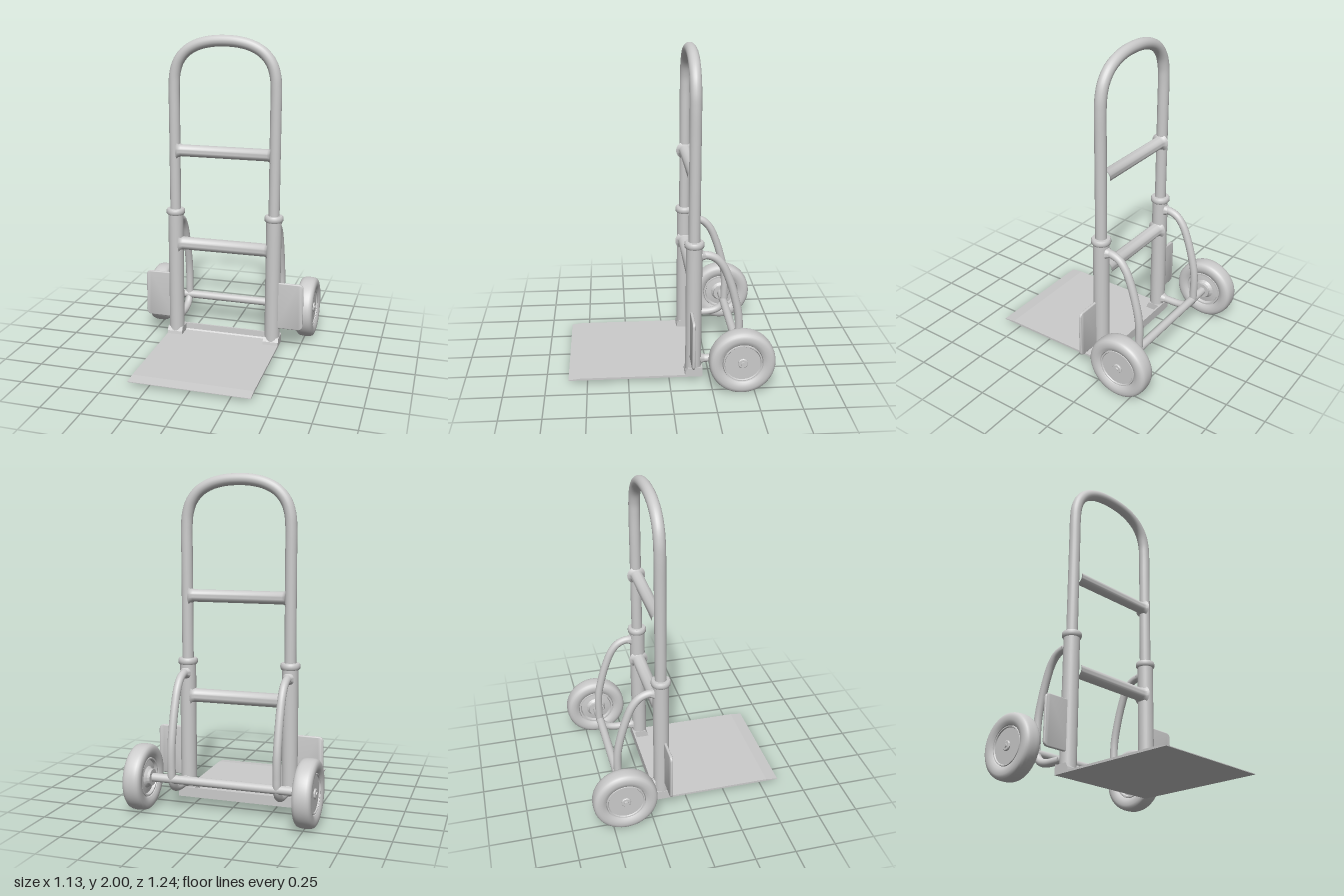
import * as THREE from 'three';
import { toCreasedNormals } from 'three/addons/utils/BufferGeometryUtils.js';

const grey = new THREE.MeshStandardMaterial({ color: 0xcccccc });
const FRAME_Z = -0.15, POST_X = 0.325, AXLE_Y = 0.2, AXLE_Z = -0.4225;

function add(parent, name, geometry, x = 0, y = 0, z = 0) {
  const mesh = new THREE.Mesh(geometry, grey);
  mesh.name = name;
  mesh.position.set(x, y, z);
  parent.add(mesh);
  return mesh;
}

// Turned part from [radius, height] pairs running bottom to top
function lathe(profile, segments = 48) {
  const points = profile.map(([r, h]) => new THREE.Vector2(r, h));
  return toCreasedNormals(new THREE.LatheGeometry(points, segments), 0.6);
}

// The same, with its axis along x
const latheX = (profile, segments) => lathe(profile, segments).rotateZ(-Math.PI / 2);

function tube(points, radius, segments) {
  const curve = new THREE.CatmullRomCurve3(points.map(p => new THREE.Vector3(...p)), false, 'centripetal');
  return new THREE.TubeGeometry(curve, segments, radius, 20);
}

// Horizontal bar with small weld flares at both ends
function crossbar(radius, half) {
  const end = [[radius + 0.02, half], [radius + 0.007, half - 0.009], [radius, half - 0.025]];
  return latheX([...end.map(([r, h]) => [r, -h]), ...end.reverse()], 32);
}

function fenderGeometry() {
  const x0 = 0.345, x1 = 0.52, y0 = 0.153, y1 = 0.447, r = 0.025;
  const s = new THREE.Shape();
  s.moveTo(x0, y0);
  s.lineTo(x1 - r, y0);
  s.quadraticCurveTo(x1, y0, x1, y0 + r);
  s.lineTo(x1, y1 - r);
  s.quadraticCurveTo(x1, y1, x1 - r, y1);
  s.lineTo(x0, y1);
  const g = new THREE.ExtrudeGeometry(s, {
    depth: 0.004, bevelThickness: 0.007, bevelSize: 0.008, bevelSegments: 4, curveSegments: 8,
  });
  return toCreasedNormals(g, 0.6);
}

// Side profile given as [z, y] pairs, extruded across x by width
function sideExtrude(profile, width) {
  const shape = new THREE.Shape(profile.map(([z, y]) => new THREE.Vector2(-z, y)));
  return new THREE.ExtrudeGeometry(shape, { depth: width, bevelEnabled: false })
    .translate(0, 0, -width / 2).rotateY(Math.PI / 2);
}

function buildWheel() {
  const wheel = new THREE.Group();
  wheel.name = 'wheel';
  const tyreHalf = [[0.118, 0.034], [0.122, 0.043], [0.135, 0.051], [0.15, 0.055], [0.168, 0.055],
    [0.182, 0.051], [0.191, 0.043], [0.196, 0.03], [0.198, 0.012]];
  const inner = tyreHalf.map(([r, h]) => [r, -h]);
  add(wheel, 'tyre', latheX([...inner, ...tyreHalf.slice().reverse()], 64));
  // Rim: dished inside with a stepped hub, shallow disc outside
  add(wheel, 'rim', latheX([[0, -0.062], [0.05, -0.062], [0.05, -0.045], [0.065, -0.03], [0.1, -0.025],
    [0.106, -0.042], [0.116, -0.042], [0.12, -0.03], [0.12, 0.03], [0.116, 0.043],
    [0.11, 0.043], [0.106, 0.036], [0, 0.036]]));
  add(wheel, 'hubCap', latheX([[0.03, 0.034], [0.03, 0.042], [0.026, 0.046], [0.012, 0.046],
    [0.01, 0.052], [0, 0.053]], 32));
  wheel.position.set(0.51, AXLE_Y, AXLE_Z);
  return wheel;
}

// Everything on the +x side
function buildSide(name) {
  const side = new THREE.Group();
  side.name = name;
  add(side, 'lowerPost', new THREE.CylinderGeometry(0.049, 0.049, 0.82, 32), POST_X, 0.46, FRAME_Z);
  add(side, 'collar', lathe([[0.045, 0.852], [0.054, 0.854], [0.059, 0.861], [0.06, 0.872], [0.059, 0.884],
    [0.054, 0.891], [0.036, 0.893]], 32), POST_X, 0, FRAME_Z);
  add(side, 'fender', fenderGeometry(), 0, 0, -0.136);
  // Bow from the post, back around the axle and forward to the post foot
  const bow = [[0.8, -0.16], [0.803, -0.225], [0.782, -0.28], [0.73, -0.325], [0.64, -0.364], [0.52, -0.4],
    [0.4, -0.424], [0.27, -0.427], [0.19, -0.42], [0.145, -0.385], [0.126, -0.33], [0.122, -0.25], [0.122, -0.16]];
  add(side, 'axleBow', tube(bow.map(([y, z]) => [POST_X, y, z]), 0.0245, 80));
  // Weld flares where the bow meets the post
  for (const y of [0.802, 0.122]) {
    const flare = lathe([[0.036, 0], [0.029, 0.009], [0.0245, 0.024]], 24).rotateX(-Math.PI / 2);
    add(side, 'bowWeld', flare, POST_X, y, FRAME_Z - 0.045);
  }
  // Foot bracket with a sloped front
  add(side, 'footBracket', sideExtrude([[-0.2, 0.03], [-0.095, 0.03], [-0.1, 0.055], [-0.115, 0.08], [-0.2, 0.08]], 0.1),
    POST_X, 0, 0);
  side.add(buildWheel());
  return side;
}

export function createModel() {
  const model = new THREE.Group();
  model.name = 'handTruck';

  const left = buildSide('leftSide');
  const right = buildSide('rightSide');
  right.scale.x = -1;
  model.add(left, right);

  // Hooped upper handle
  const half = [[0.325, 0.8], [0.325, 1.2], [0.325, 1.5], [0.325, 1.68], [0.319, 1.76], [0.295, 1.835],
    [0.245, 1.897], [0.175, 1.937], [0.09, 1.959]];
  const hoop = [...half, [0, 1.965], ...half.map(([x, y]) => [-x, y]).reverse()];
  add(model, 'handle', tube(hoop.map(([x, y]) => [x, y, FRAME_Z]), 0.035, 140));

  add(model, 'upperCrossbar', crossbar(0.038, 0.305), 0, 1.275, FRAME_Z);
  add(model, 'lowerCrossbar', crossbar(0.042, 0.295), 0, 0.66, FRAME_Z);
  add(model, 'axle', new THREE.CylinderGeometry(0.026, 0.026, 0.92, 28).rotateZ(Math.PI / 2), 0, AXLE_Y, AXLE_Z);

  // Toe plate thinning to its front edge, with a raised lip behind
  add(model, 'toePlate', sideExtrude([[-0.203, 0.023], [0.615, 0.023], [0.615, 0.027], [0.54, 0.036], [-0.203, 0.036]], 0.75));
  add(model, 'rearLip', sideExtrude([[-0.203, 0.03], [-0.18, 0.03], [-0.19, 0.045], [-0.192, 0.083], [-0.203, 0.083]], 0.75));
  return model;
}
